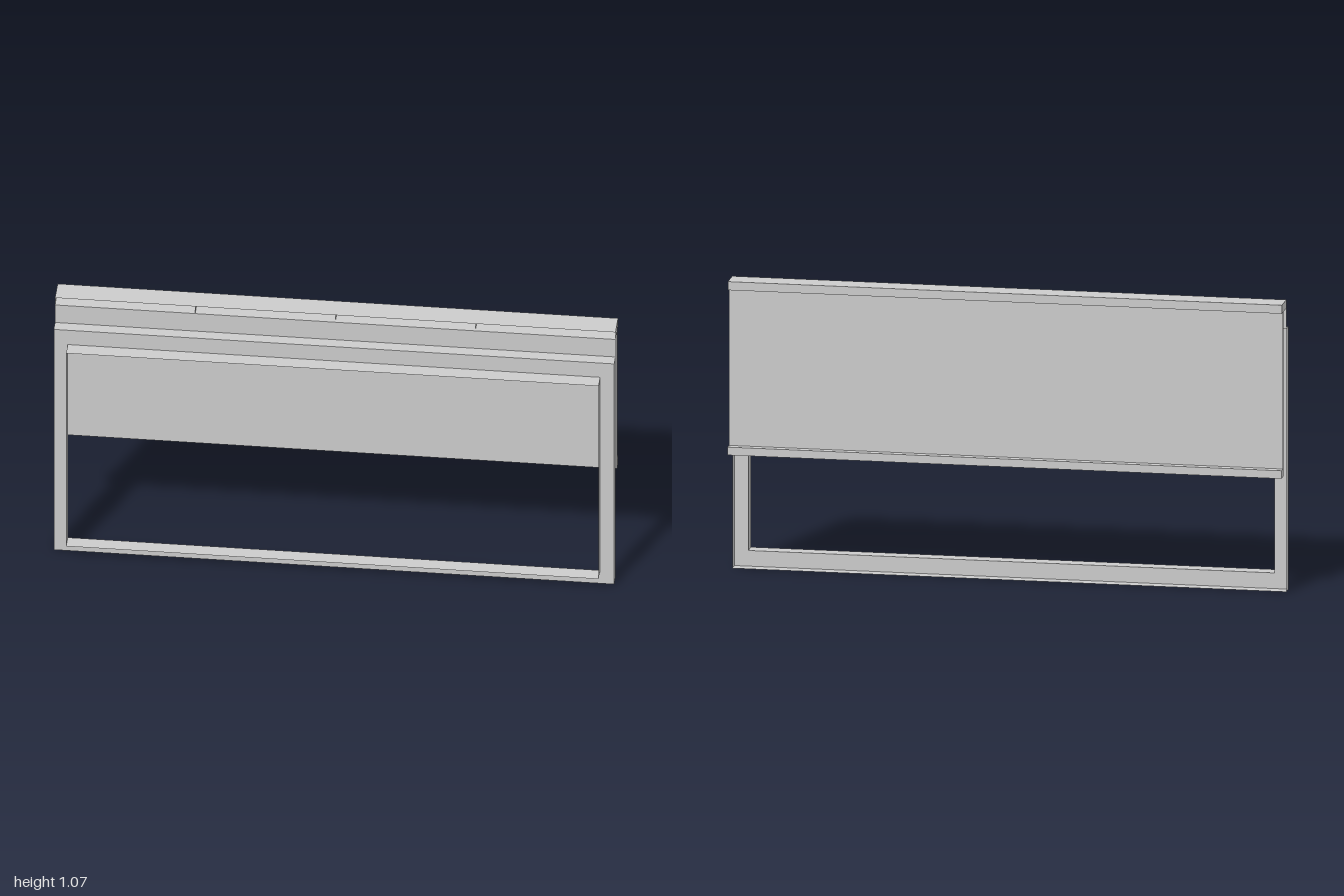
import * as THREE from 'three';

const material = new THREE.MeshStandardMaterial({ color: 0xcccccc, flatShading: true, side: THREE.DoubleSide });

function add(parent, name, geometry, x = 0, y = 0, z = 0) {
  const mesh = new THREE.Mesh(geometry, material);
  mesh.name = name;
  mesh.position.set(x, y, z);
  parent.add(mesh);
  return mesh;
}

// Solid bar across the full width, given its y and z limits
function bar(parent, name, y0, y1, z0, z1) {
  return add(parent, name, new THREE.BoxGeometry(2, y1 - y0, z1 - z0), 0, (y0 + y1) / 2, (z0 + z1) / 2);
}

// Thin sheet skinned through rectangular loops [halfWidth, bottom, top, z]
function rectangularShell(loops) {
  const corners = loops.map(([w, b, t, z]) => [[-w, b, z], [w, b, z], [w, t, z], [-w, t, z]]);
  const positions = [];
  for (let i = 0; i < corners.length - 1; i++) {
    for (let k = 0; k < 4; k++) {
      const n = (k + 1) % 4;
      const a = corners[i][k], b = corners[i][n], c = corners[i + 1][n], d = corners[i + 1][k];
      positions.push(...a, ...b, ...c, ...a, ...c, ...d);
    }
  }
  const geometry = new THREE.BufferGeometry();
  geometry.setAttribute('position', new THREE.Float32BufferAttribute(positions, 3));
  geometry.computeVertexNormals();
  return geometry;
}

export function createModel() {
  const model = new THREE.Group();
  model.name = 'windowWithShutter';

  // Stepped sheet frame, hollow at the back: outer wall, front face, flange
  add(model, 'windowFrame', rectangularShell([
    [1, 0, 0.958, 0],
    [1, 0, 0.958, 0.043],
    [0.95, 0.057, 0.896, 0.043],
    [0.95, 0.057, 0.896, 0.097],
  ]));

  // Sheet joining the frame to the top channel
  const low = 0.958, floor = 1.034, top = 1.065, back = -0.087;
  add(model, 'connectingSheet', new THREE.PlaneGeometry(2, floor - low), 0, (low + floor) / 2, 0);

  // Top channel: sheet box with an open front
  const channel = new THREE.Group();
  channel.name = 'topChannel';
  model.add(channel);
  const midY = (floor + top) / 2, height = top - floor, depth = -back;
  add(channel, 'channelTop', new THREE.PlaneGeometry(2, depth), 0, top, back / 2).rotation.x = -Math.PI / 2;
  add(channel, 'channelFloor', new THREE.PlaneGeometry(2, depth), 0, floor, back / 2).rotation.x = Math.PI / 2;
  add(channel, 'channelBack', new THREE.PlaneGeometry(2, height), 0, midY, back).rotation.y = Math.PI;

  // End walls and evenly spaced dividers
  for (const x of [-1, -0.5, 0, 0.5, 1]) {
    const name = Math.abs(x) === 1 ? 'channelEnd' : 'channelDivider';
    const wall = add(channel, name, new THREE.PlaneGeometry(depth, height), x, midY, back / 2);
    wall.rotation.y = x < 0 ? -Math.PI / 2 : Math.PI / 2;
  }

  // Hanging panel with a lip along its lower edge
  bar(model, 'shutterPanel', 0.463, floor, -0.065, -0.054);
  bar(model, 'shutterLip', 0.434, 0.463, -0.093, -0.054);

  return model;
}
